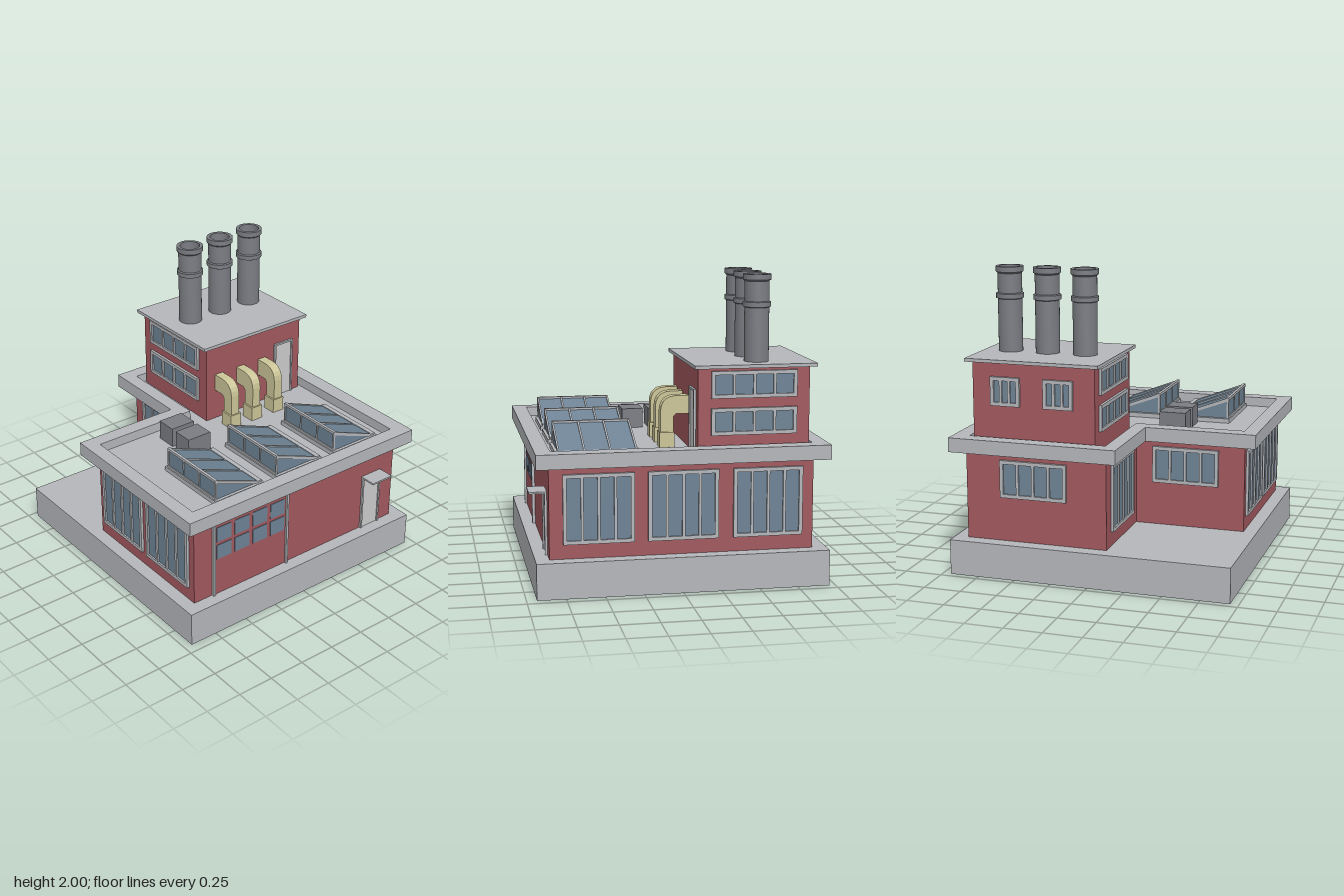
import * as THREE from 'three';
import { toCreasedNormals } from 'three/addons/utils/BufferGeometryUtils.js';

const mat = (color, opts = {}) => new THREE.MeshStandardMaterial({ color, ...opts });
const concrete = mat(0xb4b6ba), brick = mat(0xa1585e), glass = mat(0x6e8395);
const steel = mat(0x7b7d83), duct = mat(0xccc598), panel = mat(0xcccccc), trim = mat(0xb4b6ba);

function add(parent, name, geometry, material) {
  const mesh = new THREE.Mesh(geometry, material);
  mesh.name = name;
  parent.add(mesh);
  return mesh;
}

// Box given by its min and max on each axis
function box(parent, name, material, x0, x1, y0, y1, z0, z1) {
  const mesh = add(parent, name, new THREE.BoxGeometry(x1 - x0, y1 - y0, z1 - z0), material);
  mesh.position.set((x0 + x1) / 2, (y0 + y1) / 2, (z0 + z1) / 2);
  return mesh;
}

const polygon = (pts, Type = THREE.Shape) => new Type(pts.map(([x, y]) => new THREE.Vector2(x, y)));
const extrude = (shape, depth) => new THREE.ExtrudeGeometry(shape, { depth, bevelEnabled: false });
const rect = (x0, x1, y0, y1) => [[x0, y0], [x1, y0], [x1, y1], [x0, y1]];

// L-shaped plan with its notch at the back right, drawn as (x, -z)
const plan = (x0, x1, zBack, zFront, nx, nz) =>
  [[x0, -zFront], [x1, -zFront], [x1, -zBack], [nx, -zBack], [nx, -nz], [x0, -nz]];

function slab(parent, name, material, outline, y0, y1, hole) {
  const shape = polygon(outline);
  if (hole) shape.holes.push(polygon(hole, THREE.Path));
  add(parent, name, extrude(shape, y1 - y0).rotateX(-Math.PI / 2), material).position.y = y0;
}

// Framed window facing +z before it is turned
function addWindow(parent, name, w, h, cols, x, y, z, turn) {
  const g = new THREE.Group();
  g.name = name;
  const border = 0.024, mullion = 0.018;
  const pane = (w - 2 * border - (cols - 1) * mullion) / cols;
  const shape = polygon(rect(-w / 2, w / 2, -h / 2, h / 2));
  for (let i = 0; i < cols; i++) {
    const a = -w / 2 + border + i * (pane + mullion);
    shape.holes.push(polygon(rect(a, a + pane, -h / 2 + border, h / 2 - border), THREE.Path));
  }
  add(g, 'windowFrame', extrude(shape, 0.018), trim);
  box(g, 'windowGlass', glass, -w / 2 + 0.01, w / 2 - 0.01, -h / 2 + 0.01, h / 2 - 0.01, 0, 0.007);
  g.position.set(x, y, z);
  g.rotation.y = turn;
  parent.add(g);
}

// Surround of two posts and a lintel
function doorFrame(parent, name, x0, x1, y0, y1, z, t, depth) {
  box(parent, name + 'Post', trim, x0, x0 + t, y0, y1, z, z + depth);
  box(parent, name + 'Post', trim, x1 - t, x1, y0, y1, z, z + depth);
  box(parent, name + 'Lintel', trim, x0, x1, y1 - t, y1, z, z + depth);
}

function addSkylight(parent, x0) {
  const g = new THREE.Group();
  g.name = 'skylight';
  box(g, 'skylightCurb', trim, 0, 0.395, 0.86, 0.89, 0.24, 0.785);
  const x1 = 0.015, x2 = 0.375, low = 0.89, high = 1.025, z0 = 0.265, z1 = 0.765;
  add(g, 'skylightGlass', extrude(polygon([[x1, low], [x2, low], [x1, high]]), z1 - z0), glass).position.z = z0;
  // Sloping bars, upright posts and rails
  const bar = polygon([[x1, high - 0.015], [x2 - 0.04, low], [x2 + 0.012, low], [x1, high + 0.01]]);
  for (let i = 0; i < 4; i++) {
    const z = z0 - 0.006 + i * (z1 - z0) / 3;
    add(g, 'skylightBar', extrude(bar, 0.012), trim).position.z = z;
    box(g, 'skylightPost', trim, x1 - 0.006, x1 + 0.008, low, high + 0.008, z, z + 0.012);
  }
  box(g, 'skylightRidge', trim, x1 - 0.007, x1 + 0.012, high - 0.008, high + 0.01, z0 - 0.006, z1 + 0.006);
  box(g, 'skylightSill', trim, x1 - 0.007, x1 + 0.008, low, low + 0.015, z0 - 0.006, z1 + 0.006);
  box(g, 'skylightEave', trim, x2 - 0.02, x2 + 0.012, low, low + 0.012, z0 - 0.006, z1 + 0.006);
  g.position.x = x0;
  parent.add(g);
}

function ductGeometry() {
  const s = new THREE.Shape();
  s.moveTo(0.07, 0.93);
  s.lineTo(0.07, 1.1);
  s.quadraticCurveTo(0.065, 1.195, -0.03, 1.2);
  s.lineTo(-0.125, 1.2);
  s.lineTo(-0.125, 1.08);
  s.lineTo(-0.035, 1.08);
  s.lineTo(-0.015, 1.06);
  s.lineTo(-0.015, 0.93);
  const w = 0.066;
  // Profile is drawn as (z, y), then turned to face sideways
  return new THREE.ExtrudeGeometry(s, { depth: w, bevelEnabled: false, curveSegments: 5 })
    .translate(0, 0, -w / 2).rotateY(-Math.PI / 2);
}

export function createModel() {
  const model = new THREE.Group();
  model.name = 'factory';
  const R = Math.PI / 2;

  // Plinth, main hall and roof
  box(model, 'plinth', concrete, -0.945, 0.945, 0, 0.235, -0.96, 0.935);
  slab(model, 'hallWalls', brick, plan(-0.855, 0.855, -0.865, 0.845, -0.105, -0.215), 0.235, 0.83);
  const outer = plan(-0.945, 0.94, -0.96, 0.93, -0.195, -0.305);
  slab(model, 'roofSlab', concrete, outer, 0.83, 0.86);
  slab(model, 'parapet', concrete, outer, 0.86, 0.925, plan(-0.85, 0.83, -0.86, 0.83, -0.1, -0.205));

  // Sloping soffit under the front eave
  const edge = [[-0.85, 0.83], [-0.7, 0.8], [-0.1, 0.8], [-0.04, 0.782], [0.85, 0.83]];
  const pos = [], idx = [];
  edge.forEach(([x, y], i) => {
    pos.push(x, 0.829, 0.93, x, y, 0.847);
    if (i) idx.push(2 * i - 2, 2 * i - 1, 2 * i, 2 * i, 2 * i - 1, 2 * i + 1);
  });
  const soffit = new THREE.BufferGeometry();
  soffit.setAttribute('position', new THREE.Float32BufferAttribute(pos, 3));
  soffit.setIndex(idx);
  soffit.computeVertexNormals();
  add(model, 'frontSoffit', soffit, mat(0xb4b6ba, { side: THREE.DoubleSide, flatShading: true }));

  // Upper block with its flat roof
  box(model, 'upperWalls', brick, -0.025, 0.805, 0.86, 1.42, -0.845, -0.115);
  box(model, 'upperRoof', concrete, -0.06, 0.845, 1.418, 1.44, -0.886, -0.087);

  // Hall windows
  for (const z of [0.53, -0.013, -0.565]) addWindow(model, 'leftWindow', 0.455, 0.45, 4, 0.855, 0.555, z, R);
  for (const z of [0.565, 0.06]) addWindow(model, 'rightWindow', 0.455, 0.45, 4, -0.855, 0.555, z, -R);
  addWindow(model, 'notchSideWindow', 0.455, 0.45, 4, -0.105, 0.555, -0.54, -R);
  addWindow(model, 'notchBackWindow', 0.455, 0.25, 4, -0.45, 0.655, -0.215, Math.PI);
  addWindow(model, 'backWindow', 0.455, 0.25, 4, 0.39, 0.655, -0.865, Math.PI);

  // Upper block windows
  for (const y of [1.312, 1.074]) {
    addWindow(model, 'upperLeftWindow', 0.56, 0.174, 4, 0.805, y, -0.48, R);
    addWindow(model, 'upperRightWindow', 0.56, 0.174, 4, -0.025, y, -0.48, -R);
  }
  for (const x of [0.58, 0.22]) addWindow(model, 'upperBackWindow', 0.2, 0.19, 3, x, 1.23, -0.845, Math.PI);

  // Loading door with two rows of panes
  box(model, 'loadingDoor', brick, -0.7, -0.1, 0.235, 0.785, 0.84, 0.85);
  doorFrame(model, 'loadingDoor', -0.712, -0.092, 0.235, 0.795, 0.84, 0.016, 0.025);
  for (let i = 0; i < 4; i++)
    for (const [y0, y1] of [[0.505, 0.612], [0.636, 0.745]]) {
      const x = -0.68 + i * 0.147;
      box(model, 'loadingDoorPane', glass, x, x + 0.118, y0, y1, 0.845, 0.854);
    }

  // Entrance and roof doors, and the canopy
  for (const [y0, y1, z] of [[0.235, 0.64, 0.845], [0.86, 1.275, -0.115]]) {
    box(model, 'door', panel, 0.58, 0.73, y0, y1 - 0.005, z - 0.01, z + 0.006);
    doorFrame(model, 'door', 0.573, 0.737, y0, y1, z - 0.005, 0.013, 0.02);
  }
  box(model, 'doorCanopy', trim, 0.57, 0.74, 0.636, 0.648, 0.84, 0.96);

  // Skylights and vent boxes
  for (const x of [-0.637, -0.14, 0.355]) addSkylight(model, x);
  for (const z of [-0.12, 0.065]) box(model, 'ventBox', steel, -0.42, -0.24, 0.86, 0.995, z, z + 0.145);

  // Bent ducts leading into the upper block
  const bend = ductGeometry();
  for (const x of [0.083, 0.27, 0.463]) {
    add(model, 'duct', bend, duct).position.x = x;
    box(model, 'ductBase', duct, x - 0.045, x + 0.045, 0.86, 0.96, -0.022, 0.078);
  }

  // Hollow chimneys with a collar and a rim
  const profile = [[0.08, 1.43], [0.08, 1.787], [0.091, 1.792], [0.091, 1.822], [0.08, 1.827], [0.08, 1.955],
    [0.091, 1.965], [0.091, 2], [0.068, 2], [0.068, 1.86], [0, 1.86]];
  const chimney = toCreasedNormals(
    new THREE.LatheGeometry(profile.map(([r, y]) => new THREE.Vector2(r, y)), 32), 0.5);
  for (const x of [0.147, 0.406, 0.666]) add(model, 'chimney', chimney, steel).position.set(x, 0, -0.525);

  return model;
}
